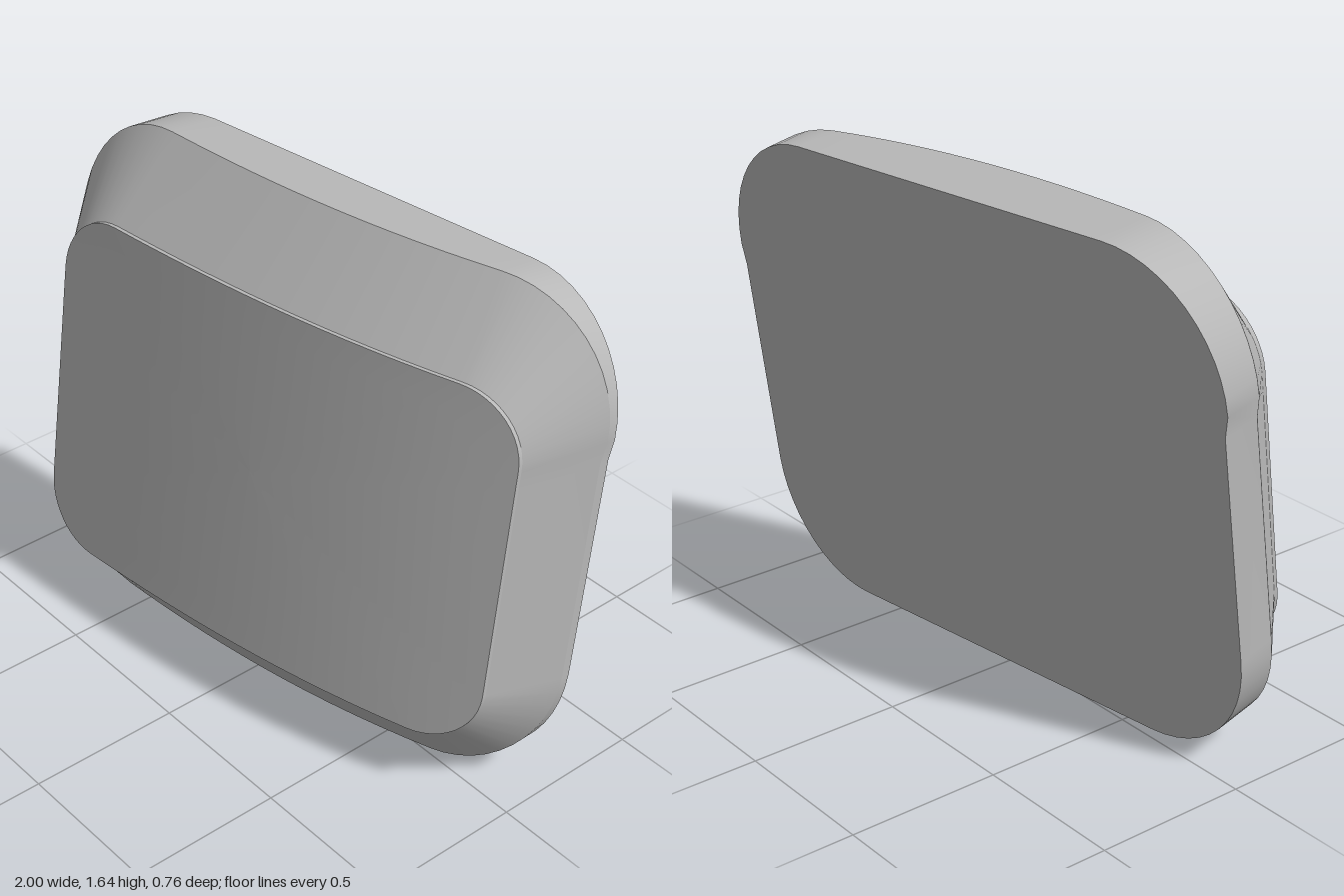
import * as THREE from 'three';

// Tilt of the slab: the back plane leans by these slopes in x and y
const SX = 0.13, SY = 0.145;
const CENTRE = [0.02, 0.79];

// Point at height h above the tilted back plane
const place = (u, v, h) => [u + SX * h, v + SY * h, -0.044 - SX * u - SY * v + h];

// Height of the shoulder and of the panel edge, curving away toward the sides
const shoulderHeight = (u) => {
  const x = u + 0.03;
  return (0.218 - 0.015 * x - 0.13 * x * x - 0.03 * x ** 3) / 1.038;
};
const panelHeight = (u) => {
  const x = u + 0.045;
  return (0.382 - 0.02 * x - 0.1 * x * x - 0.03 * x ** 3) / 1.038;
};

// Rounded outline, counter-clockwise from the lower right corner.
// corners: [cx, cy, rx, ry]; right and left: a point just below each upper corner
function outline(corners, right, left) {
  const pts = [], arc = 12, edge = 14;
  corners.forEach(([cx, cy, rx, ry], k) => {
    for (let i = 0; i <= arc; i++) {
      const a = (k - 1 + i / arc) * Math.PI / 2;
      pts.push([cx + rx * Math.cos(a), cy + ry * Math.sin(a)]);
    }
    if (k === 0) pts.push(right);
    else if (k === 2) pts.push(left);
    else {
      // subdivide the long edges so that they can bend
      const n = corners[(k + 1) % 4], s = k === 1 ? 1 : -1;
      const y0 = cy + s * ry, y1 = n[1] + s * n[3];
      for (let i = 1; i < edge; i++) {
        const t = i / edge;
        pts.push([cx + (n[0] - cx) * t, y0 + (y1 - y0) * t]);
      }
    }
  });
  return pts;
}

const ring = (pts, height, scale = 1) => pts.map(([u, v]) => {
  const su = CENTRE[0] + (u - CENTRE[0]) * scale;
  const sv = CENTRE[1] + (v - CENTRE[1]) * scale;
  return place(su, sv, height(su));
});

// Smooth skin over a sequence of rings, ordered back to front
function loft(name, rings, material) {
  const n = rings[0].length, index = [];
  for (let r = 0; r < rings.length - 1; r++) {
    for (let i = 0; i < n; i++) {
      const j = (i + 1) % n;
      const a = r * n + i, b = r * n + j, c = b + n, d = a + n;
      index.push(a, b, c, a, c, d);
    }
  }
  const geo = new THREE.BufferGeometry();
  geo.setAttribute('position', new THREE.Float32BufferAttribute(rings.flat(2), 3));
  geo.setIndex(index);
  geo.computeVertexNormals();
  const mesh = new THREE.Mesh(geo, material);
  mesh.name = name;
  return mesh;
}

export function createModel() {
  const group = new THREE.Group();
  group.name = 'taperedSlab';
  const grey = new THREE.MeshStandardMaterial({ color: 0xb8b8b8 });
  grey.name = 'light grey';

  const outer = outline([
    [0.65, 0.41, 0.343, 0.4],
    [0.62, 1.2, 0.368, 0.414],
    [-0.6, 1.2, 0.4, 0.414],
    [-0.6, 0.4, 0.375, 0.398],
  ], [0.98, 1.13], [-0.985, 1.13]);
  const inner = outline([
    [0.672, 0.385, 0.21, 0.203],
    [0.66, 1.13, 0.207, 0.208],
    [-0.628, 1.13, 0.21, 0.208],
    [-0.613, 0.39, 0.21, 0.206],
  ], [0.868, 1.07], [-0.837, 1.07]);

  const flat = () => 0;
  const raised = (u) => panelHeight(u) + 0.015;

  // Flat back
  group.add(loft('back', [ring(outer, flat, 0), ring(outer, flat)], grey));
  // Side wall
  group.add(loft('sideWall', [ring(outer, flat), ring(outer, shoulderHeight)], grey));
  // Sloping bevel
  group.add(loft('bevel', [ring(outer, shoulderHeight), ring(inner, panelHeight)], grey));
  // Narrow lip around the front panel
  group.add(loft('panelLip', [ring(inner, panelHeight), ring(inner, raised)], grey));
  // Gently curved front panel
  const steps = [1, 0.85, 0.7, 0.55, 0.4, 0.25, 0.1, 0];
  group.add(loft('frontPanel', steps.map((s) => ring(inner, raised, s)), grey));

  return group;
}
